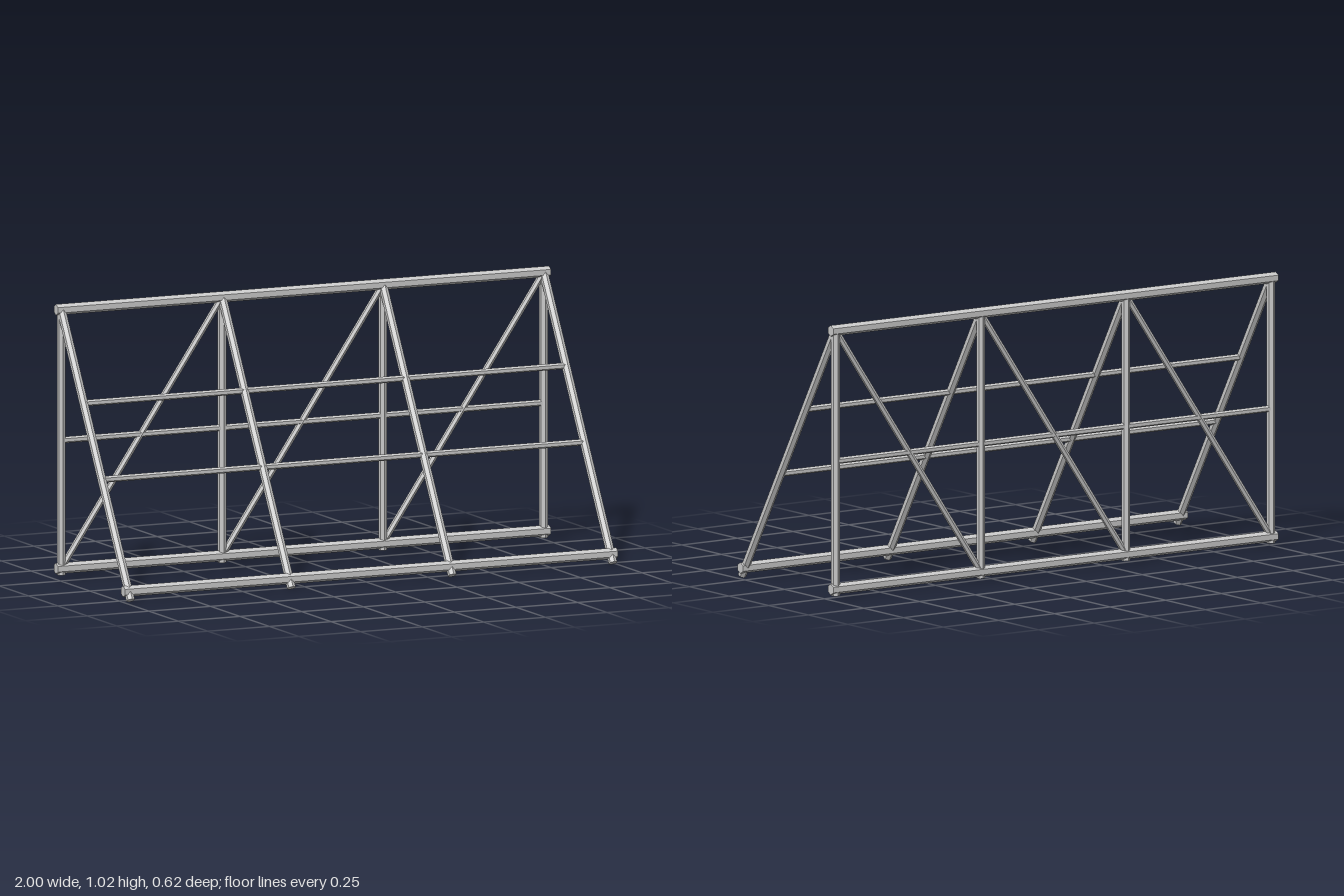
import * as THREE from 'three';

const material = new THREE.MeshStandardMaterial({ color: 0xcccccc, flatShading: true });
const UP = new THREE.Vector3(0, 1, 0);

// Six-sided bar between two points; turn rolls it about its own axis
function bar(name, from, to, radius, turn = 0) {
  const a = new THREE.Vector3(...from);
  const b = new THREE.Vector3(...to);
  const geometry = new THREE.CylinderGeometry(radius, radius, a.distanceTo(b), 6, 1, false, turn);
  const mesh = new THREE.Mesh(geometry, material);
  mesh.name = name;
  mesh.position.copy(a).add(b).multiplyScalar(0.5);
  mesh.quaternion.setFromUnitVectors(UP, b.sub(a).normalize());
  return mesh;
}

export function createModel() {
  const group = new THREE.Group();
  group.name = 'slopingFrame';

  const topY = 1.0, railY = 0.04, backZ = -0.29, frontZ = 0.28;
  const columns = [-0.978, -0.326, 0.326, 0.978];
  const slopeZ = (y) => backZ + (frontZ - backZ) * (topY - y) / (topY - railY);
  const rail = (name, y, z, half, radius) =>
    group.add(bar(name, [-half, y, z], [half, y, z], radius, Math.PI / 6));

  // Heavy rails along the ridge and both feet
  rail('ridgeRail', topY, backZ, 1, 0.0205);
  rail('backBottomRail', railY, backZ, 1, 0.0205);
  rail('frontBottomRail', railY, frontZ, 1, 0.0205);

  // Thin rails between the legs and between the posts
  rail('upperFrontRail', 0.68, slopeZ(0.68), 0.975, 0.012);
  rail('lowerFrontRail', 0.42, slopeZ(0.42), 0.975, 0.012);
  rail('backMiddleRail', 0.515, backZ, 0.975, 0.012);

  // Upright posts and sloping legs, their feet reaching below the rails
  for (const x of columns) {
    group.add(bar('backPost', [x, 0.015, backZ], [x, topY, backZ], 0.016));
    group.add(bar('frontLeg', [x, 0.008, slopeZ(0.008)], [x, topY, backZ], 0.016));
  }

  // Diagonal braces in the back bays
  for (let i = 0; i < 3; i++) {
    group.add(bar('diagonalBrace', [columns[i], railY, backZ], [columns[i + 1], topY, backZ], 0.012));
  }
  return group;
}
